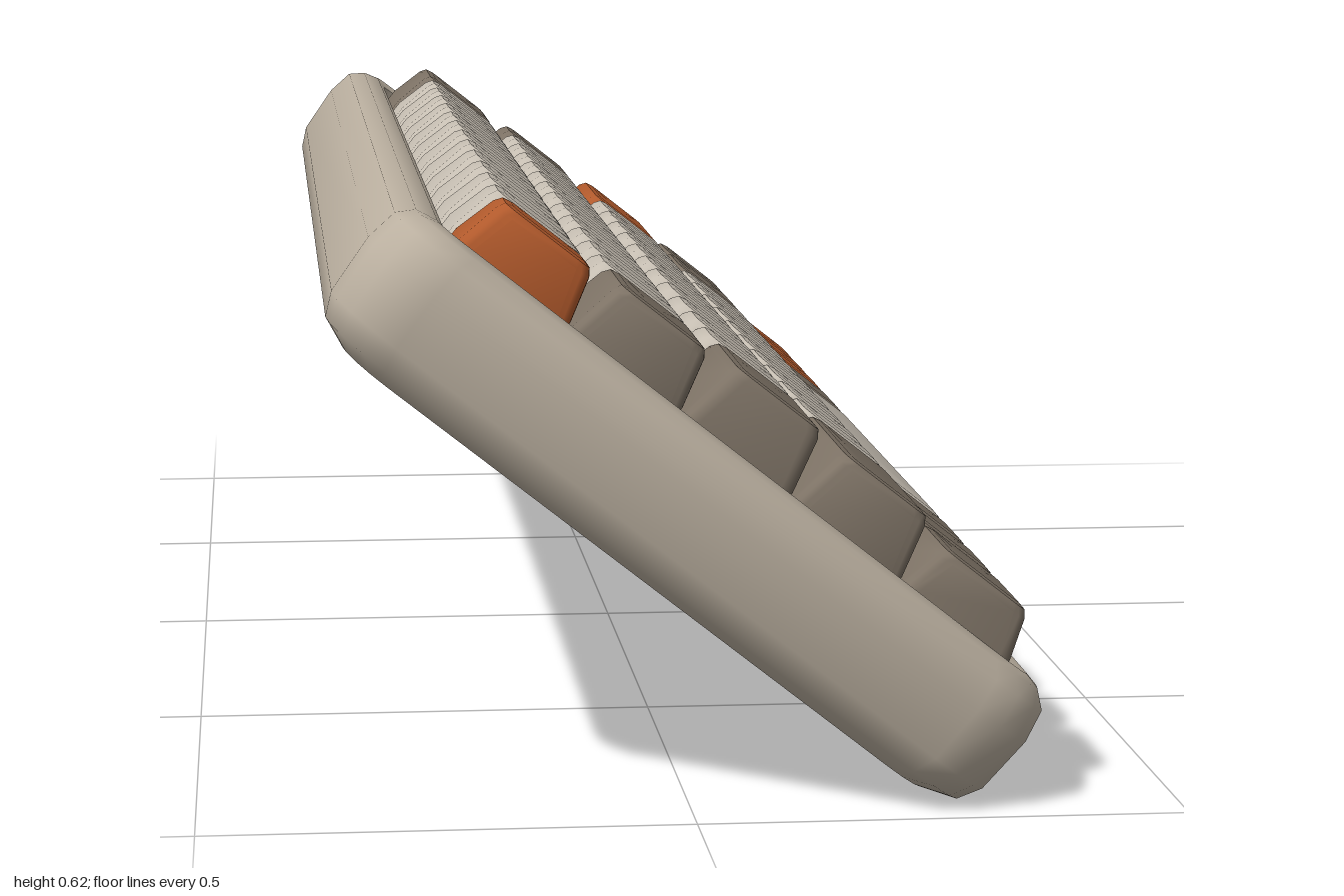
import * as THREE from 'three';
import { toCreasedNormals } from 'three/addons/utils/BufferGeometryUtils.js';

const mat = (name, color) => {
  const m = new THREE.MeshStandardMaterial({ color });
  m.name = name;
  return m;
};

// Closed solid from stacked rounded rectangles; each ring is [y, halfX, halfZ, radius].
function loft(rings, topY, crease) {
  const CORNER = 5, n = CORNER * 4, pos = [], idx = [];
  for (const [y, hx, hz, r] of rings) {
    for (let q = 0; q < 4; q++) {
      const sx = q === 0 || q === 3 ? 1 : -1, sz = q < 2 ? 1 : -1;
      for (let i = 0; i < CORNER; i++) {
        const a = (q + i / (CORNER - 1)) * Math.PI / 2;
        pos.push(sx * (hx - r) + r * Math.cos(a), y, sz * (hz - r) + r * Math.sin(a));
      }
    }
  }
  const last = (rings.length - 1) * n, bottom = rings.length * n, top = bottom + 1;
  pos.push(0, rings[0][0], 0, 0, topY, 0);
  for (let i = 0; i < n; i++) {
    const j = (i + 1) % n;
    for (let k = 0; k < last; k += n) {
      idx.push(k + i, k + n + i, k + j, k + j, k + n + i, k + n + j);
    }
    idx.push(bottom, i, j, top, last + j, last + i);
  }
  const g = new THREE.BufferGeometry();
  g.setAttribute('position', new THREE.Float32BufferAttribute(pos, 3));
  g.setIndex(idx);
  return toCreasedNormals(g, crease);
}

export function createModel() {
  const shell = mat('warm beige case', 0xbbb0a0);
  const light = mat('pale key', 0xc6beb2);
  const dark = mat('taupe key', 0x7d7265);
  const accent = mat('rust orange key', 0xb25a2c);

  const model = new THREE.Group();
  model.name = 'keyboard';
  const tilted = new THREE.Group();
  tilted.name = 'tiltedKeyboard';
  tilted.rotation.z = -0.666;
  tilted.position.y = 0.307;
  model.add(tilted);

  // Case: rounded outer wall, soft rim, then down into the key well
  const caseRings = [
    [-0.087, 0.345, 0.92], [-0.085, 0.375, 0.95], [-0.07, 0.408, 0.982],
    [-0.045, 0.42, 0.995], [0.02, 0.424, 1.0], [0.055, 0.418, 0.994],
    [0.07, 0.402, 0.978], [0.075, 0.38, 0.957], [0.07, 0.366, 0.948], [0.03, 0.362, 0.944],
  ].map(([y, hx, hz], i) => [y, hx, hz, i < 7 ? 0.08 - (0.424 - hx) * 0.5 : 0.03]);
  const body = new THREE.Mesh(loft(caseRings, 0.03, 0.9), shell);
  body.name = 'case';
  tilted.add(body);

  // Keycap: straight skirt, tapered sides, slightly dished top
  function addKey(row, x, z0, z1, height, material, name) {
    const hx = 0.0715, hz = Math.abs(z1 - z0) / 2;
    const ring = (y, inset, r) => [y, hx - inset, hz - inset, r];
    const rings = [
      ring(0.025, 0.002, 0.014), ring(0.075, 0.002, 0.016),
      ring(height - 0.01, 0.013, 0.018), ring(height - 0.002, 0.018, 0.018),
      ring(height, 0.027, 0.014),
    ];
    const key = new THREE.Mesh(loft(rings, height - 0.004, 0.6), material);
    key.name = name;
    key.position.set(x, 0, (z0 + z1) / 2);
    row.add(key);
  }

  // Rows from the high edge down: [material, count, far end z], starting at z = 0.936
  const rows = [
    { height: 0.131, keys: [[accent, 1, 0.815], [light, 12, -0.735], [dark, 1, -0.94]] },
    { height: 0.137, keys: [[dark, 1, 0.74], [light, 12, -0.8], [dark, 1, -0.94]] },
    { height: 0.143, keys: [[dark, 1, 0.71], [light, 11, -0.695], [accent, 1, -0.94]] },
    { height: 0.14, keys: [[dark, 1, 0.64], [light, 10, -0.62], [dark, 1, -0.81], [dark, 1, -0.94]] },
    { height: 0.126, keys: [[dark, 1, 0.75], [dark, 1, 0.59], [dark, 1, 0.43], [light, 1, -0.33],
      [dark, 1, -0.52], [accent, 3, -0.94]] },
  ];
  rows.forEach(({ height, keys }, r) => {
    const row = new THREE.Group();
    row.name = `keyRow${r + 1}`;
    let z = 0.936;
    for (const [material, count, end] of keys) {
      const step = (end - z) / count;
      const name = material === accent ? 'accentKey' : material === dark ? 'modifierKey'
        : count === 1 ? 'spaceBar' : 'letterKey';
      for (let i = 0; i < count; i++) {
        addKey(row, -0.281 + r * 0.143, z + i * step, z + (i + 1) * step, height, material, name);
      }
      z = end;
    }
    tilted.add(row);
  });
  return model;
}
